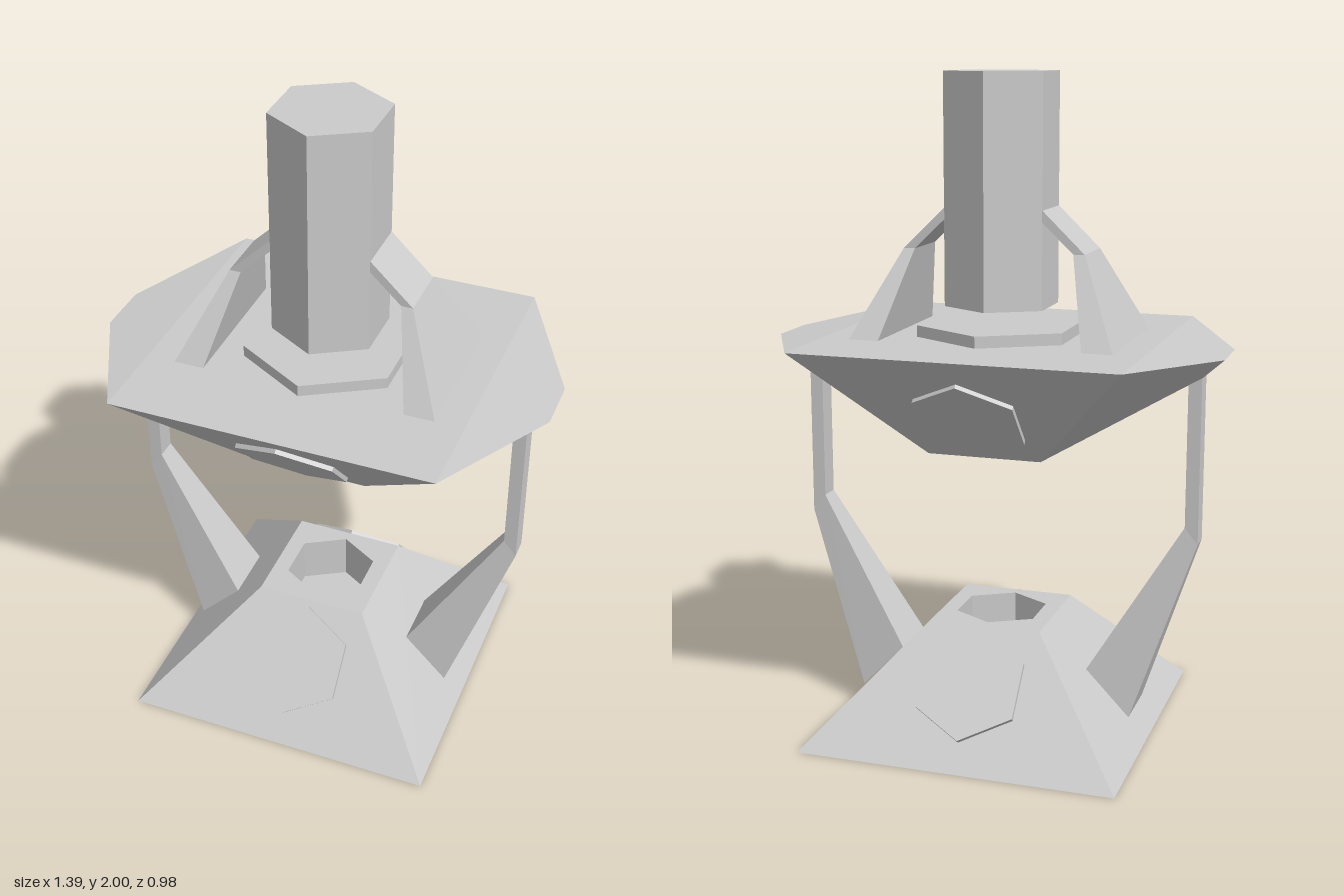
import * as THREE from 'three';

const grey = new THREE.MeshStandardMaterial({ color: 0xcccccc, flatShading: true });
const greyInside = new THREE.MeshStandardMaterial({ color: 0xcccccc, flatShading: true, side: THREE.BackSide });

function addMesh(parent, name, geometry, material = grey) {
  const mesh = new THREE.Mesh(geometry, material);
  mesh.name = name;
  parent.add(mesh);
  return mesh;
}

// Flat polygons, corners counter-clockwise from outside
function facesGeometry(faces) {
  const pos = [];
  for (const f of faces)
    for (let i = 1; i < f.length - 1; i++) pos.push(...f[0], ...f[i], ...f[i + 1]);
  const g = new THREE.BufferGeometry();
  g.setAttribute('position', new THREE.Float32BufferAttribute(pos, 3));
  g.computeVertexNormals();
  return g;
}

// Sections from bottom to top: [outer x, outer y, inner x, inner y, half depth]
function loft(sections, capTop = true) {
  const rings = sections.map(([ox, oy, ix, iy, w]) =>
    [[ox, oy, w], [ox, oy, -w], [ix, iy, -w], [ix, iy, w]]);
  const faces = [[...rings[0]].reverse()];
  for (let s = 0; s < rings.length - 1; s++)
    for (let j = 0; j < 4; j++) {
      const k = (j + 1) % 4;
      faces.push([rings[s][j], rings[s][k], rings[s + 1][k], rings[s + 1][j]]);
    }
  if (capTop) faces.push(rings[rings.length - 1]);
  return facesGeometry(faces);
}

const hexPrism = (r, h, open = false) => new THREE.CylinderGeometry(r, r, h, 6, 1, open);

const HALF = 0.175; // half side of the small square ends
const PIT_R = 0.142, PIT_DEPTH = 0.15;

// Square end face with a hexagonal recess; dir is 1 facing up, -1 facing down
function addSocket(parent, y, dir) {
  const socket = new THREE.Group();
  socket.name = 'hexSocket';
  const shape = new THREE.Shape([[-1, -1], [1, -1], [1, 1], [-1, 1]].map(
    ([a, b]) => new THREE.Vector2(a * HALF, b * HALF)));
  const hex = [];
  for (let i = 0; i < 6; i++) {
    const t = i * Math.PI / 3;
    hex.push(new THREE.Vector2(Math.sin(t) * PIT_R, Math.cos(t) * PIT_R));
  }
  shape.holes.push(new THREE.Path(hex));
  addMesh(socket, 'socketRim', new THREE.ShapeGeometry(shape).rotateX(-Math.PI / 2));
  addMesh(socket, 'socketWall', hexPrism(PIT_R, PIT_DEPTH, true), greyInside).position.y = -PIT_DEPTH / 2;
  addMesh(socket, 'socketFloor', new THREE.CircleGeometry(PIT_R, 6, Math.PI / 2).rotateX(-Math.PI / 2))
    .position.y = -PIT_DEPTH;
  socket.position.y = y;
  if (dir < 0) socket.rotation.x = Math.PI;
  parent.add(socket);
}

export function createModel() {
  const model = new THREE.Group();
  model.name = 'pedestalTower';

  // Pyramid base
  const base = new THREE.Group();
  base.name = 'base';
  addMesh(base, 'basePyramid', loft([[0.49, 0, -0.49, 0, 0.49], [HALF, 0.345, -HALF, 0.345, HALF]], false));
  addSocket(base, 0.345, 1);
  model.add(base);

  // Dish: the half at +x plus the same faces turned half round
  const A = [HALF, 0.875, HALF], B = [0.49, 1.22, 0.49], C = [0.695, 1.195, 0.085], D = [0.625, 1.13, 0.035];
  const back = ([x, y, z]) => [x, y, -z];
  const turn = ([x, y, z]) => [-x, y, -z];
  const [a, b, c, d] = [A, B, C, D].map(back);
  const half = [
    [turn(a), A, B, turn(b)],                       // front slope
    [A, D, B], [D, C, B], [a, b, d], [d, b, c],     // corner facets
    [A, a, d, D], [D, d, c, C],                     // end slope and lip
    [B, C, c, b], [[0, 1.22, 0.49], B, b, [0, 1.22, -0.49]], // deck
  ];
  const dish = new THREE.Group();
  dish.name = 'dish';
  addMesh(dish, 'dishShell', facesGeometry([...half, ...half.map(f => f.map(turn))]));
  addSocket(dish, 0.875, -1);
  model.add(dish);

  // Column and its foot plate
  addMesh(model, 'column', hexPrism(0.175, 0.69)).position.y = 1.655;
  addMesh(model, 'footPlate', hexPrism(0.26, 0.045)).position.y = 1.2325;

  // Paired parts, one set turned half round
  const legGeo = loft([
    [0.435, 0.07, 0.30, 0.21, 0.092],
    [0.622, 0.62, 0.582, 0.67, 0.033],
    [0.622, 1.15, 0.582, 1.15, 0.033],
  ]);
  const armGeo = loft([
    [0.402, 1.22, 0.31, 1.22, 0.233],
    [0.28, 1.48, 0.245, 1.48, 0.088],
    [0.145, 1.61, 0.145, 1.575, 0.088],
  ]);
  const plateGeo = hexPrism(0.174, 0.028);
  const tilt = Math.atan2(0.345, 0.315);
  for (const [i, side] of ['left', 'right'].entries()) {
    const set = new THREE.Group();
    set.name = side + 'Set';
    addMesh(set, side + 'Leg', legGeo);
    addMesh(set, side + 'Arm', armGeo);
    const lower = addMesh(set, 'baseHexPlate', plateGeo);
    lower.position.set(0, 0.2, 0.307);
    lower.rotation.x = tilt;
    const upper = addMesh(set, 'dishHexPlate', plateGeo);
    upper.position.set(0, 1.02, 0.307);
    upper.rotation.x = Math.PI - tilt;
    set.rotation.y = i * Math.PI;
    model.add(set);
  }
  return model;
}
